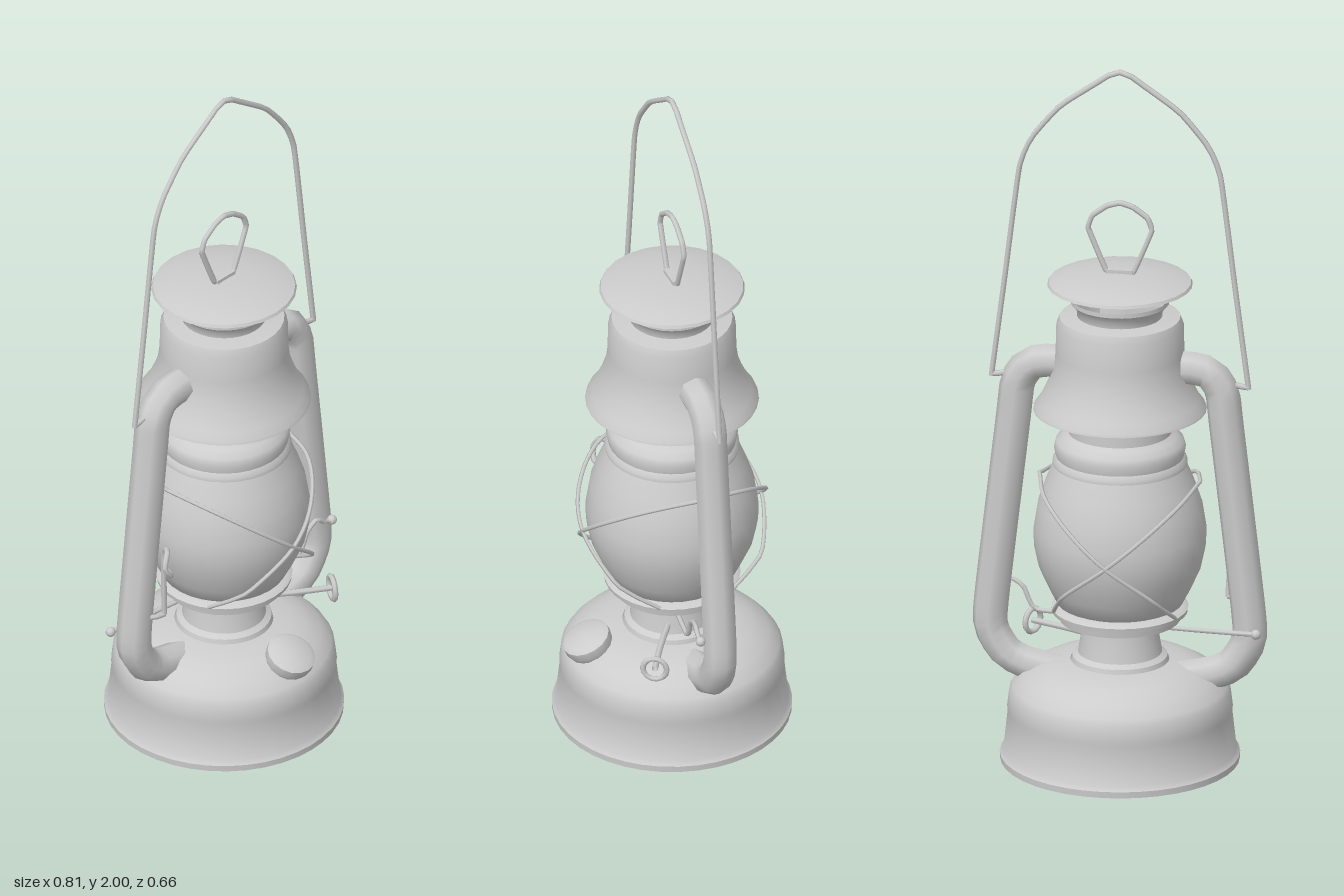
import * as THREE from 'three';
import { toCreasedNormals } from 'three/addons/utils/BufferGeometryUtils.js';

export function createModel() {
  const group = new THREE.Group();
  group.name = 'lantern';
  const metal = new THREE.MeshStandardMaterial({ color: 0xcccccc, side: THREE.DoubleSide });
  metal.name = 'greyMetal';

  const add = (name, geometry) => {
    const mesh = new THREE.Mesh(geometry, metal);
    mesh.name = name;
    group.add(mesh);
    return mesh;
  };
  // Turned part from [radius, height] pairs, bottom to top
  const turn = (name, profile, start = 0, length = Math.PI * 2, segments = 32) => {
    const points = profile.map(([r, y]) => new THREE.Vector2(r, y));
    return add(name, toCreasedNormals(new THREE.LatheGeometry(points, segments, start, length), 0.7));
  };
  const tube = (name, points, radius, { steps = 32, sides = 6, closed = false, tension = 0.5 } = {}) => {
    const curve = new THREE.CatmullRomCurve3(
      points.map((p) => new THREE.Vector3(...p)), closed, 'catmullrom', tension);
    return add(name, new THREE.TubeGeometry(curve, steps, radius, sides, closed));
  };

  // Fuel tank with rolled foot and rounded shoulder
  turn('fuelTank', [
    [0, 0.01], [0.318, 0.01], [0.327, 0], [0.328, 0.018], [0.318, 0.03], [0.306, 0.14], [0.308, 0.15],
    [0.302, 0.2], [0.293, 0.215], [0.265, 0.245], [0.22, 0.27], [0.18, 0.282], [0.135, 0.288],
  ], 0, Math.PI * 2, 40);

  // Burner cone and the gallery that holds the globe
  turn('burner', [[0.135, 0.28], [0.13, 0.3], [0.115, 0.31], [0.1, 0.4], [0.1, 0.42]]);
  turn('globeGallery', [
    [0.1, 0.405], [0.165, 0.405], [0.168, 0.425], [0.185, 0.428], [0.187, 0.44], [0.175, 0.448], [0.15, 0.45],
  ]);

  // Glass globe
  turn('globe', [
    [0.15, 0.445], [0.172, 0.455], [0.195, 0.5], [0.222, 0.56], [0.235, 0.62], [0.236, 0.67],
    [0.225, 0.74], [0.205, 0.8], [0.18, 0.86],
  ]);

  // Chimney collar above the globe
  turn('globeCollar', [
    [0.17, 0.855], [0.184, 0.857], [0.184, 0.868], [0.175, 0.88], [0.18, 0.905], [0.175, 0.925],
    [0.155, 0.94], [0.142, 0.95], [0.14, 1.28],
  ]);

  // Flared hood, open underneath
  turn('hood', [
    [0.237, 1.015], [0.235, 1.022], [0.218, 1.045], [0.197, 1.09], [0.183, 1.13], [0.176, 1.18],
    [0.174, 1.26], [0.165, 1.282], [0.118, 1.288],
  ]);

  // Vent: lower ring, four posts and upper ring under the cap
  turn('ventRing', [[0.115, 1.286], [0.118, 1.305], [0.135, 1.325], [0.135, 1.337]]);
  for (let i = 0; i < 4; i++) {
    turn('ventPost', [[0.133, 1.33], [0.128, 1.38]], i * Math.PI / 2 - 0.27, 0.54, 5);
  }
  turn('ventCap', [
    [0, 1.374], [0.135, 1.37], [0.185, 1.371], [0.199, 1.376], [0.195, 1.384], [0.15, 1.398], [0.08, 1.406], [0, 1.41],
  ], 0, Math.PI * 2, 24);

  // Finger loop with its clip
  tube('fingerLoop', [
    [-0.037, 1.412, 0], [-0.088, 1.535, 0], [-0.076, 1.572, 0], [-0.035, 1.602, 0], [0, 1.612, 0],
    [0.035, 1.602, 0], [0.076, 1.572, 0], [0.088, 1.535, 0], [0.037, 1.412, 0],
  ], 0.008, { closed: true, tension: 0.1, steps: 54 });
  add('loopClip', new THREE.BoxGeometry(0.07, 0.014, 0.022)).position.set(0, 1.412, 0);

  // Side air tubes
  for (const s of [-1, 1]) {
    tube('sideTube', [
      [0.14, 1.143], [0.205, 1.142], [0.25, 1.13], [0.282, 1.08], [0.295, 0.97], [0.356, 0.43],
      [0.352, 0.35], [0.315, 0.29], [0.265, 0.262], [0.17, 0.24],
    ].map(([x, y]) => [s * x, y, 0]), 0.048, { steps: 36, sides: 8, tension: 0.3 });
    // Ear where the carrying wire hooks on
    tube('bailHook', [[s * 0.355, 1.095, 0], [s * 0.32, 1.1, 0], [s * 0.28, 1.12, 0]], 0.008, { steps: 4 });
  }

  // Carrying wire
  const half = [[0.355, 1.09], [0.318, 1.38], [0.278, 1.7], [0.243, 1.79], [0.165, 1.885], [0.065, 1.957], [0.03, 1.982]];
  tube('bail', [
    ...half.map(([x, y]) => [-x, y, 0]), [0, 1.992, 0],
    ...half.slice().reverse().map(([x, y]) => [x, y, 0]),
  ], 0.008, { steps: 60, tension: 0.25 });

  // Crossed guard wires, front and back
  for (const sx of [-1, 1]) for (const sz of [-1, 1]) {
    tube('globeGuard', [
      [-0.222, 0.815, 0], [-0.185, 0.79, 0.14], [-0.1, 0.722, 0.232], [0, 0.64, 0.262],
      [0.115, 0.545, 0.222], [0.145, 0.5, 0.175], [0.168, 0.45, 0.1],
    ].map(([x, y, z]) => [sx * x, y, sz * z]), 0.006, { steps: 28, sides: 5 });
  }

  // Tilted filler cap at the front
  const filler = turn('fillerCap', [
    [0.045, -0.06], [0.05, -0.035], [0.062, -0.03], [0.068, -0.015], [0.068, 0.008], [0.055, 0.016], [0, 0.02],
  ], 0, Math.PI * 2, 16);
  filler.position.set(0, 0.278, 0.25);
  filler.rotation.x = 0.42;

  // Wick adjuster: shaft and ring knob
  tube('wickShaft', [[0.08, 0.335, 0.04], [0.17, 0.33, 0.1], [0.265, 0.325, 0.155]], 0.009, { steps: 6 });
  const knob = add('wickKnob', new THREE.TorusGeometry(0.033, 0.008, 6, 14));
  knob.position.set(0.265, 0.325, 0.155);
  knob.rotation.y = Math.PI / 3;

  // Globe lifting lever
  tube('liftLever', [
    [-0.395, 0.4, -0.062], [-0.3, 0.398, -0.052], [-0.12, 0.396, -0.03], [0.1, 0.396, 0.03], [0.235, 0.396, 0.05],
    [0.258, 0.42, 0.052], [0.275, 0.46, 0.054], [0.31, 0.482, 0.056], [0.34, 0.458, 0.058], [0.37, 0.455, 0.06],
  ], 0.007, { steps: 44, tension: 0.3 });
  for (const [x, y, z] of [[-0.385, 0.4, -0.062], [0.365, 0.455, 0.06]]) {
    add('leverStop', new THREE.SphereGeometry(0.014, 8, 6)).position.set(x, y, z);
  }

  // Wire latch beside the right tube
  tube('sideLatch', [
    [-0.29, 0.465, 0.05], [-0.297, 0.6, 0.055], [-0.3, 0.68, 0.06], [-0.315, 0.7, 0.085],
    [-0.338, 0.66, 0.098], [-0.315, 0.625, 0.1], [-0.298, 0.62, 0.07],
  ], 0.008, { steps: 28 });
  tube('latchFoot', [[-0.29, 0.465, 0.05], [-0.32, 0.467, 0.045], [-0.345, 0.47, 0.03]], 0.008, { steps: 4 });

  return group;
}
